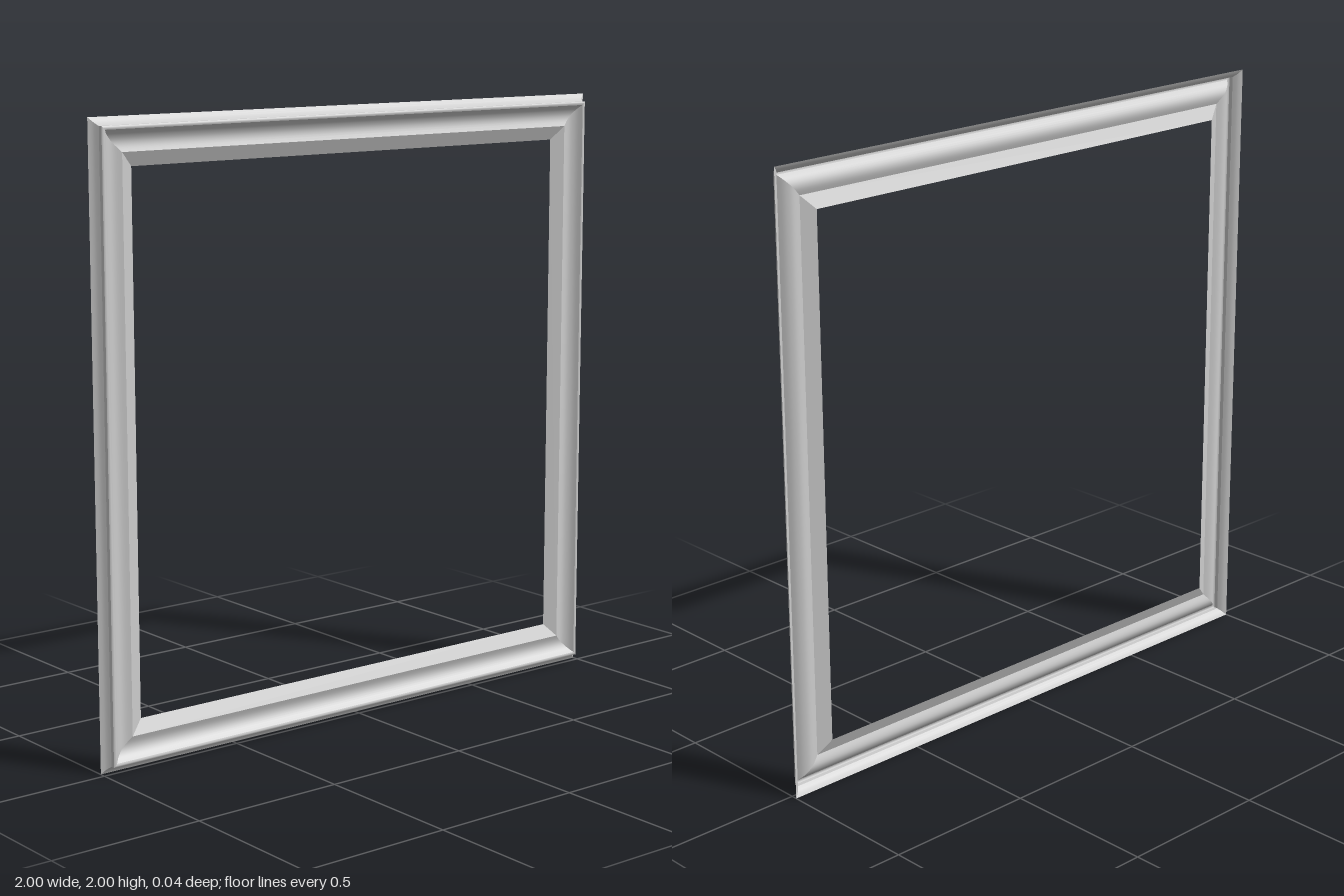
import * as THREE from 'three';
import { mergeGeometries } from 'three/addons/utils/BufferGeometryUtils.js';

// Moulding profile as [distance from frame centre, z], outside to inside.
// Each strip is smooth within itself and sharp against the next.
const curve = (pts, n) =>
  new THREE.SplineCurve(pts.map(([d, z]) => new THREE.Vector2(d, z))).getPoints(n).map((p) => [p.x, p.y]);

const STRIPS = [
  curve([[1, -0.02], [0.986, -0.011], [0.975, 0.002]], 5), // flared outer lip
  [[0.975, 0.002], [0.975, 0.016]], // small step
  curve([[0.975, 0.016], [0.97, 0.0185], [0.964, 0.017]], 4), // rounded bead
  curve([[0.964, 0.017], [0.95, 0.003], [0.932, -0.006], [0.915, -0.006], [0.895, 0.001]], 12), // cove
  [[0.895, 0.001], [0.85, -0.02]], // inner bevel
];

// Sweep one strip along the top rail, with mitred ends
function stripGeometry(points) {
  const pos = [];
  const index = [];
  points.forEach(([d, z], i) => {
    pos.push(-d, d, z, d, d, z);
    if (i) {
      const a = 2 * (i - 1);
      index.push(a, a + 2, a + 1, a + 1, a + 2, a + 3);
    }
  });
  const g = new THREE.BufferGeometry();
  g.setAttribute('position', new THREE.Float32BufferAttribute(pos, 3));
  g.setIndex(index);
  g.computeVertexNormals();
  return g;
}

export function createModel() {
  const frame = new THREE.Group();
  frame.name = 'frame';
  const material = new THREE.MeshStandardMaterial({ color: 0xcccccc, side: THREE.DoubleSide });
  const railGeometry = mergeGeometries(STRIPS.map(stripGeometry));

  // Four identical rails turned around the centre of the frame
  ['topRail', 'rightRail', 'bottomRail', 'leftRail'].forEach((name, i) => {
    const rail = new THREE.Mesh(railGeometry, material);
    rail.name = name;
    rail.rotation.z = (i * Math.PI) / 2;
    rail.position.y = 1;
    frame.add(rail);
  });
  return frame;
}
